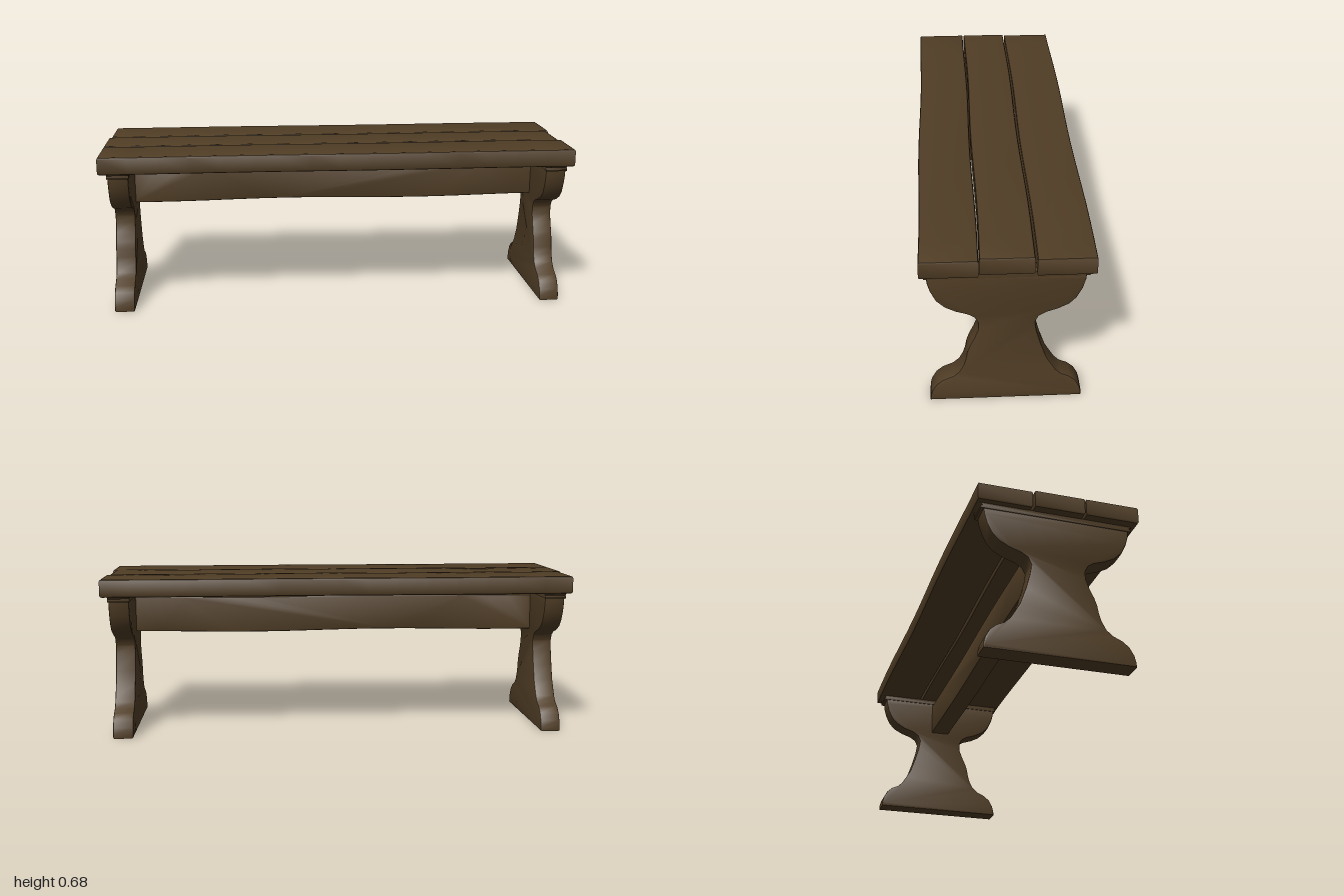
import * as THREE from 'three';
import { toCreasedNormals } from 'three/addons/utils/BufferGeometryUtils.js';

const wood = new THREE.MeshStandardMaterial({ color: 0x503d25 });
wood.name = 'dark brown wood';

// Extrudes an outline to a total thickness, centred, with softened edges inside the outline
function bevelled(points, thickness, bevel) {
  const shape = new THREE.Shape(points.map(([a, b]) => new THREE.Vector2(a, b)));
  const geo = new THREE.ExtrudeGeometry(shape, {
    depth: thickness - 2 * bevel, bevelEnabled: true, bevelThickness: bevel,
    bevelSize: bevel, bevelOffset: -bevel, bevelSegments: 2,
  });
  geo.translate(0, 0, bevel - thickness / 2);
  return geo;
}

// Long board whose two long edges wander slightly, as if hand-hewn
function wavyBoard(x0, x1, lo, hi, thickness, bevel, amp, phase) {
  const n = 16, low = [], high = [];
  for (let i = 0; i <= n; i++) {
    const x = x0 + (x1 - x0) * i / n;
    const wave = amp * Math.sin(x * 5.5 + phase);
    low.push([x, lo + wave]);
    high.unshift([x, hi + wave]);
  }
  return bevelled([...low, ...high], thickness, bevel);
}

function part(name, geo) {
  const mesh = new THREE.Mesh(toCreasedNormals(geo, 0.6), wood);
  mesh.name = name;
  return mesh;
}

export function createModel() {
  const bench = new THREE.Group();
  bench.name = 'bench';

  // Three seat planks; outline is drawn in x and z, then laid flat
  const planks = [
    ['frontPlank', -1, 0.995, 0.106, 0.322, 0.5],
    ['middlePlank', -1, 0.982, -0.101, 0.101, 1.2],
    ['backPlank', -0.99, 0.995, -0.324, -0.107, 0.9],
  ];
  for (const [name, x0, x1, z0, z1, phase] of planks) {
    const geo = wavyBoard(x0, x1, z0, z1, 0.075, 0.009, 0.003, phase);
    geo.rotateX(Math.PI / 2);
    geo.translate(0, 0.6425, 0);
    bench.add(part(name, geo));
  }

  // Central stretcher rail between the legs
  bench.add(part('stretcherRail', wavyBoard(-0.89, 0.89, 0.419, 0.574, 0.09, 0.006, 0.004, 2.7)));

  // Curved leg board, outline in z and y
  const legOutline = [
    [0.295, 0], [0.294, 0.02], [0.287, 0.047], [0.27, 0.077], [0.245, 0.099], [0.205, 0.117],
    [0.182, 0.138], [0.165, 0.17], [0.156, 0.2], [0.15, 0.235], [0.14, 0.265], [0.122, 0.304],
    [0.108, 0.342], [0.108, 0.375], [0.121, 0.4], [0.145, 0.415], [0.19, 0.43], [0.23, 0.451],
    [0.262, 0.482], [0.282, 0.525], [0.292, 0.56], [0.295, 0.59],
    [-0.292, 0.59], [-0.289, 0.56], [-0.278, 0.52], [-0.258, 0.48], [-0.232, 0.452], [-0.19, 0.43],
    [-0.146, 0.415], [-0.119, 0.398], [-0.106, 0.37], [-0.112, 0.33], [-0.13, 0.265],
    [-0.152, 0.2], [-0.172, 0.165], [-0.19, 0.135], [-0.212, 0.113], [-0.243, 0.099],
    [-0.268, 0.077], [-0.285, 0.045], [-0.292, 0.018], [-0.292, 0],
  ];
  // Small moulding between leg and seat
  const capOutline = [
    [0.303, 0.583], [0.306, 0.59], [0.297, 0.596], [0.309, 0.607],
    [-0.309, 0.607], [-0.297, 0.596], [-0.306, 0.59], [-0.303, 0.583],
  ];
  for (const side of [1, -1]) {
    const name = side > 0 ? 'left' : 'right';
    for (const [label, outline, width, bevel] of [
      ['Leg', legOutline, 0.085, 0.006],
      ['LegCap', capOutline, 0.091, 0.002],
    ]) {
      const geo = bevelled(outline, width, bevel);
      geo.rotateY(-Math.PI / 2);
      geo.translate(side * 0.922, 0, 0);
      bench.add(part(name + label, geo));
    }
  }
  return bench;
}
